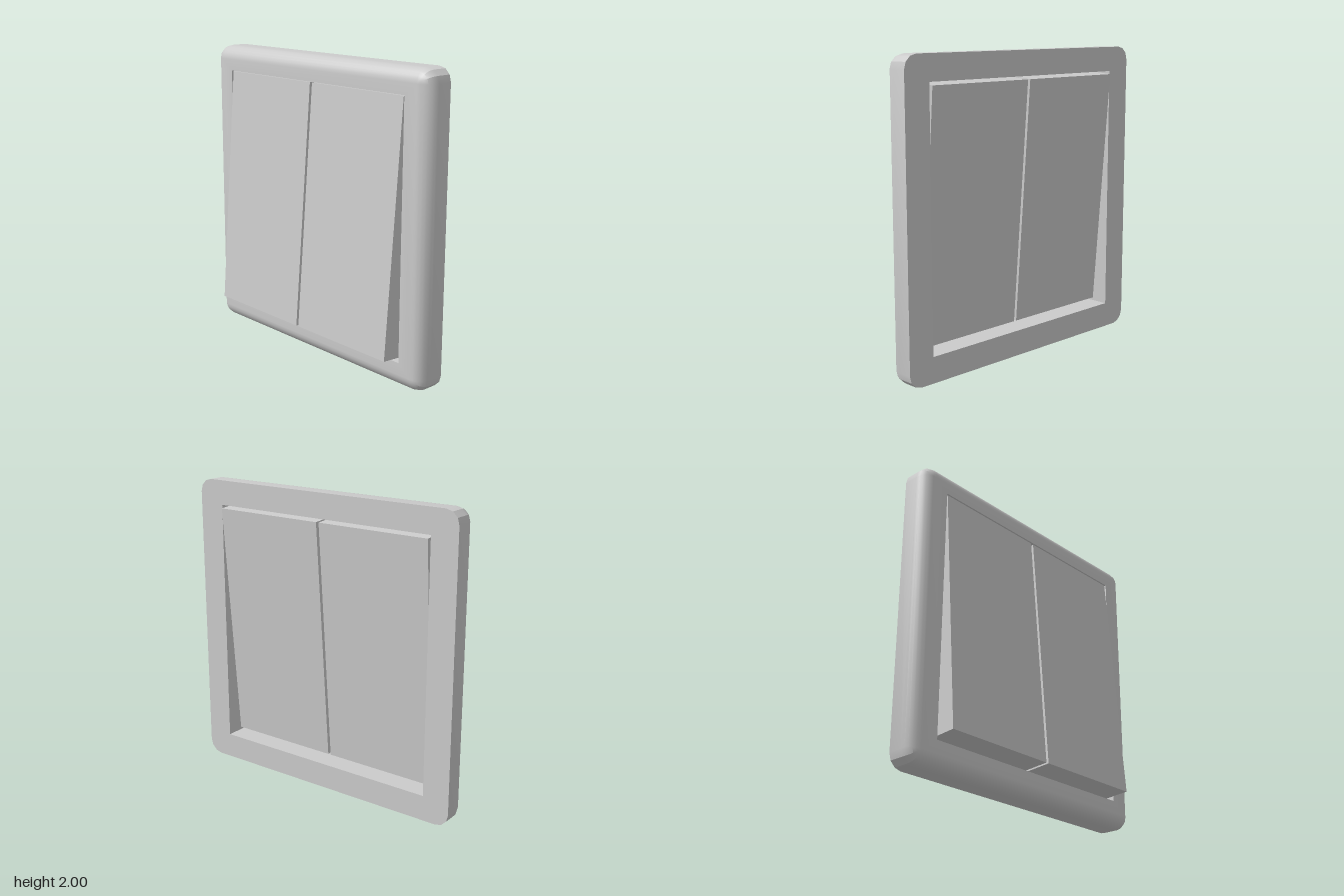
import * as THREE from 'three';
import { toCreasedNormals } from 'three/addons/utils/BufferGeometryUtils.js';

const RADIUS = 0.09;      // rounding of corners and front edge
const BACK = -0.145, FRONT = 0.045;
const CORNER_SEGS = 3, BEVEL_SEGS = 6;

// Square loop of points, counter-clockwise from the front, with arc corners
function ring(halfX, yMin, yMax, r, z) {
  const points = [];
  const corners = [[halfX, yMax], [-halfX, yMax], [-halfX, yMin], [halfX, yMin]];
  corners.forEach(([cx, cy], q) => {
    for (let i = 0; i <= CORNER_SEGS; i++) {
      const a = (q + i / CORNER_SEGS) * Math.PI / 2;
      points.push(new THREE.Vector3(cx + r * Math.cos(a), cy + r * Math.sin(a), z));
    }
  });
  return points;
}

// Skins consecutive loops, leaving out collapsed triangles
function skin(rings) {
  const positions = [];
  const tri = (a, b, c) => {
    const area = b.clone().sub(a).cross(c.clone().sub(a)).length();
    if (area > 1e-8) for (const p of [a, b, c]) positions.push(p.x, p.y, p.z);
  };
  for (let k = 0; k < rings.length - 1; k++) {
    const lower = rings[k], upper = rings[k + 1], n = lower.length;
    for (let i = 0; i < n; i++) {
      const j = (i + 1) % n;
      tri(lower[i], lower[j], upper[j]);
      tri(lower[i], upper[j], upper[i]);
    }
  }
  const geometry = new THREE.BufferGeometry();
  geometry.setAttribute('position', new THREE.Float32BufferAttribute(positions, 3));
  return toCreasedNormals(geometry, 0.4);
}

export function createModel() {
  const group = new THREE.Group();
  group.name = 'lightSwitch';
  const material = new THREE.MeshStandardMaterial({ color: 0xcccccc });

  // Frame: back face, outer wall, rounded front edge, front face, opening wall
  const opening = (z) => ring(0.815, 0.17, 1.835, 0, z);
  const outer = (r, z) => ring(1 - RADIUS, RADIUS, 2 - RADIUS, r, z);
  const rings = [opening(BACK), outer(RADIUS, BACK)];
  for (let i = 0; i <= BEVEL_SEGS; i++) {
    const a = (i / BEVEL_SEGS) * Math.PI / 2;
    const r = i === BEVEL_SEGS ? 0 : RADIUS * Math.cos(a);
    rings.push(outer(r, FRONT - RADIUS + RADIUS * Math.sin(a)));
  }
  rings.push(opening(FRONT), opening(BACK));
  const frame = new THREE.Mesh(skin(rings), material);
  frame.name = 'frame';
  group.add(frame);

  // Two rockers, tilted so the lower edge stands out
  const rockerGeometry = new THREE.BoxGeometry(0.795, 1.626, 0.2);
  for (const [name, side] of [['leftRocker', 1], ['rightRocker', -1]]) {
    const rocker = new THREE.Mesh(rockerGeometry, material);
    rocker.name = name;
    rocker.position.set(side * 0.4075, 1.012, 0.0015);
    rocker.rotation.x = -0.0768;
    group.add(rocker);
  }
  return group;
}
